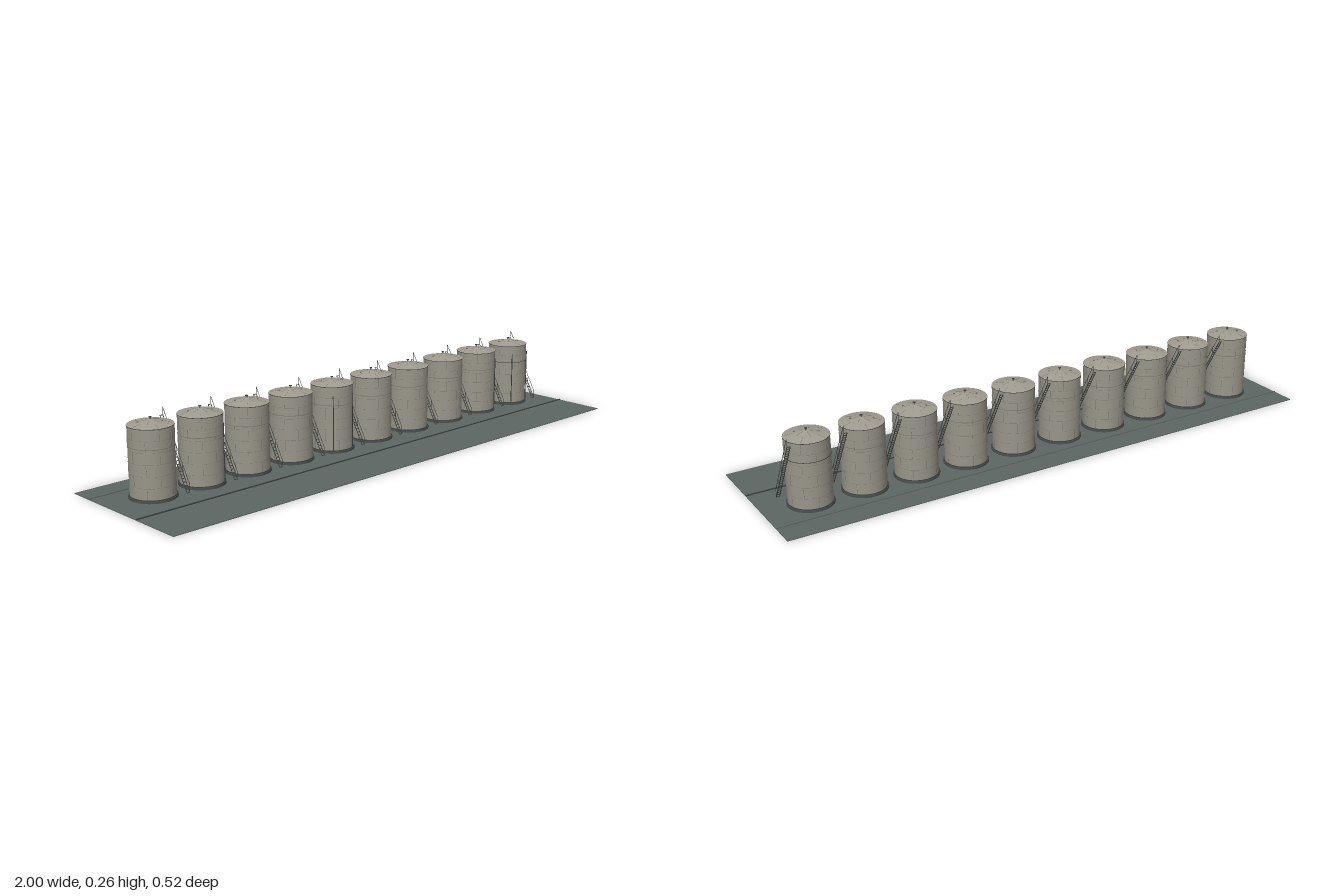
import * as THREE from 'three';

const mat = (name, color) => {
  const m = new THREE.MeshStandardMaterial({ color });
  m.name = name;
  return m;
};

export function createModel() {
  const model = new THREE.Group();
  model.name = 'tankFarm';
  const steel = mat('tankSteel', 0x99968a);
  const roofPaint = mat('roofSteel', 0x9f9b90);
  const seam = mat('seamGrey', 0x77756b);
  const dark = mat('darkIron', 0x3d403f);
  const concrete = mat('foundation', 0x4c5150);
  const groundMat = mat('ground', 0x5e6664);

  const add = (parent, name, geo, material, x = 0, y = 0, z = 0) => {
    const m = new THREE.Mesh(geo, material);
    m.name = name;
    m.position.set(x, y, z);
    parent.add(m);
    return m;
  };
  // Square bar between two points
  const bar = (parent, name, a, b, t, material) => {
    const p = new THREE.Vector3(...a), q = new THREE.Vector3(...b);
    const m = add(parent, name, new THREE.BoxGeometry(t, t, p.distanceTo(q)), material);
    m.position.copy(p).add(q).multiplyScalar(0.5);
    m.lookAt(q);
    return m;
  };

  // Site slab, front pipe run and rear kerb
  add(model, 'groundSlab', new THREE.BoxGeometry(2, 0.003, 0.52), groundMat, 0, 0.0015, 0);
  add(model, 'frontPipeRun', new THREE.BoxGeometry(2, 0.003, 0.005), dark, 0, 0.0045, 0.078);
  add(model, 'rearKerb', new THREE.BoxGeometry(2, 0.003, 0.003), groundMat, 0, 0.0045, -0.175);

  const R = 0.0725, BASE = 0.012, TOP = 0.235, APEX = 0.25;

  // Straight stair along the +x side of a tank
  function stair() {
    const g = new THREE.Group();
    g.name = 'stair';
    const z0 = 0.07, z1 = -0.057, y0 = 0.012, y1 = 0.235, rise = 0.026;
    const at = (t, x, h = 0) => [x, y0 + (y1 - y0) * t + h, z0 + (z1 - z0) * t];
    for (const x of [0.0755, 0.0865]) {
      bar(g, 'stringer', at(0, x), at(1, x), 0.0018, dark);
    }
    bar(g, 'handrail', at(0, 0.0865, rise), at(1, 0.0865, rise), 0.0012, dark);
    for (let i = 0; i <= 4; i++) {
      bar(g, 'railPost', at(i / 4, 0.0865), at(i / 4, 0.0865, rise), 0.0011, dark);
    }
    for (let i = 0; i <= 22; i++) {
      add(g, 'tread', new THREE.BoxGeometry(0.011, 0.001, 0.005), dark, ...at(i / 22, 0.081));
    }
    return g;
  }

  // Offsets in x of the riser pipes on each tank's front
  const risers = [[], [0.045], [], [], [-0.047, 0.033], [], [], [], [0.037], [-0.043, 0.045]];
  // Where the staggered plate joints start around each tank
  const turns = [0.4, 1.3, 0, 0.9, 2.1, 0.25, 1.7, 0, 1.1, 0.6];

  function tank(i) {
    const g = new THREE.Group();
    g.name = 'storageTank';
    add(g, 'foundationRing', new THREE.CylinderGeometry(0.077, 0.077, 0.008, 40), concrete, 0, 0.007, 0);
    add(g, 'baseFlange', new THREE.CylinderGeometry(0.075, 0.075, 0.002, 40), dark, 0, 0.012, 0);
    add(g, 'shell', new THREE.CylinderGeometry(R, R, TOP - BASE, 40, 1, true), steel, 0, (TOP + BASE) / 2, 0);

    // Horizontal courses; the upper one is a heavier stiffener
    const course = (TOP - BASE) / 6;
    for (let k = 1; k < 6; k++) {
      add(g, 'courseSeam', new THREE.CylinderGeometry(R + 0.0004, R + 0.0004, 0.0008, 40, 1, true),
        seam, 0, BASE + course * k, 0);
    }
    add(g, 'stiffener', new THREE.CylinderGeometry(R + 0.0008, R + 0.0008, 0.0018, 40),
      i === 9 ? dark : seam, 0, 0.171, 0);

    // Staggered vertical plate joints
    for (let k = 0; k < 6; k++) {
      for (let j = 0; j < 5; j++) {
        const a = turns[i] + (j + (k % 2) * 0.5) * Math.PI * 0.4;
        const s = add(g, 'plateJoint', new THREE.BoxGeometry(0.001, course * 0.9, 0.001), seam,
          Math.sin(a) * R, BASE + course * (k + 0.5), Math.cos(a) * R);
        s.rotation.y = a;
      }
    }

    // Cone roof with rim, radial ribs and centre vent
    add(g, 'roof', new THREE.ConeGeometry(R + 0.001, APEX - TOP, 40, 1, true), roofPaint, 0, (TOP + APEX) / 2, 0);
    add(g, 'roofRim', new THREE.CylinderGeometry(R + 0.0015, R + 0.0015, 0.002, 40, 1, true), dark, 0, TOP, 0);
    for (let k = 0; k < 10; k++) {
      const a = turns[i] + k * Math.PI / 5;
      const pt = (r) => [Math.sin(a) * r, APEX - (APEX - TOP) * r / R + 0.0002, Math.cos(a) * r];
      const from = k % 2 ? 0.04 : 0.012;
      bar(g, 'roofRib', pt(from), pt(from + 0.026), 0.0009, seam);
    }
    for (const [x, z] of [[0.03, 0.02], [-0.035, -0.015]]) {
      add(g, 'roofHatch', new THREE.CylinderGeometry(0.003, 0.003, 0.004, 10), seam, x, 0.2435, z);
    }
    add(g, 'ventNeck', new THREE.CylinderGeometry(0.0028, 0.0028, 0.007, 10), seam, 0, 0.252, 0);
    add(g, 'ventCap', new THREE.CylinderGeometry(0.0048, 0.0048, 0.002, 12), dark, 0, 0.2565, 0);

    // Riser pipes on the front of the shell
    for (const x of risers[i]) {
      const z = Math.sqrt(0.0745 ** 2 - x * x);
      add(g, 'riserPipe', new THREE.CylinderGeometry(0.0016, 0.0016, 0.193, 8), dark, x, 0.1085, z);
    }
    g.add(stair());
    g.position.set(-0.84 + i * 0.1867, 0, -0.066);
    return g;
  }

  for (let i = 0; i < 10; i++) model.add(tank(i));
  return model;
}
